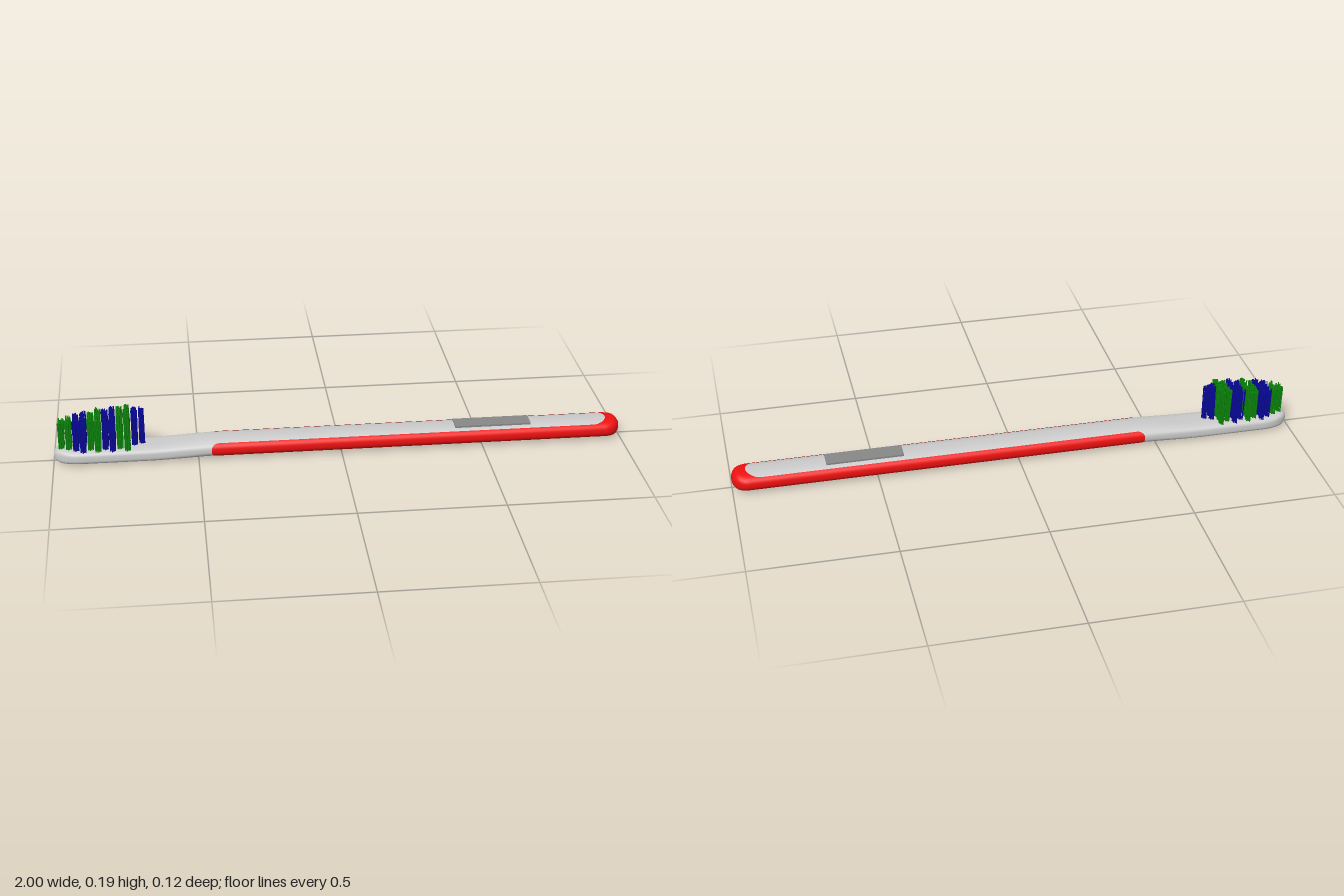
import * as THREE from 'three';
import { mergeGeometries } from 'three/addons/utils/BufferGeometryUtils.js';

const lerp = THREE.MathUtils.lerp;
const round = (d, len) => (d >= len ? 1 : Math.sqrt(Math.max(0, 1 - (1 - d / len) ** 2)));

// Cross-section of the brush at x: half width, half height, centre height, squareness
function section(x) {
  const k = THREE.MathUtils.smoothstep(x, -0.68, -0.42);
  const top = lerp(0.052, 0.066, k), bottom = lerp(0, 0.003, k);
  const l = x + 1, r = 1 - x;
  return {
    w: 0.061 * round(l, 0.1) * round(r, 0.06),
    h: (top - bottom) / 2 * round(l, 0.035) * round(r, 0.03),
    y: (top + bottom) / 2,
    n: lerp(3.4, 2.5, k),
  };
}

// Stations along x, closer together at both ends
function stations(x0, x1, len, count = 14) {
  const xs = [];
  for (let i = 0; i <= count; i++) xs.push(x0 + len * (1 - Math.cos(i / count * Math.PI / 2)));
  for (let i = 1; i < 50; i++) xs.push(lerp(x0 + len, x1 - len, i / 50));
  for (let i = 0; i <= count; i++) xs.push(x1 - len + len * Math.sin(i / count * Math.PI / 2));
  return xs;
}

// Skin over the sections; range(x) gives the start and end angle round the section
function skin(xs, segs, closed, grow, range) {
  const pos = [], idx = [], cols = closed ? segs : segs + 1;
  const pow = (v, e) => Math.sign(v) * Math.abs(v) ** e;
  xs.forEach((x, i) => {
    const s = section(x), [t0, t1] = range(x, s);
    for (let j = 0; j < cols; j++) {
      const t = lerp(t0, t1, j / segs);
      pos.push(x, s.y + (s.h + grow) * pow(Math.sin(t), 2 / s.n), (s.w + grow) * pow(Math.cos(t), 2 / s.n));
    }
    if (i === 0) return;
    for (let j = 0; j < segs; j++) {
      const k = (j + 1) % cols, a = (i - 1) * cols, b = i * cols;
      idx.push(a + j, b + j, a + k, b + j, b + k, a + k);
    }
  });
  const g = new THREE.BufferGeometry();
  g.setAttribute('position', new THREE.Float32BufferAttribute(pos, 3));
  g.setIndex(idx);
  g.computeVertexNormals();
  return g;
}

// Angle the grip reaches up from the side: a strip that closes over the butt end
function gripAngle(x, s) {
  const inner = x < 0.9 ? 0.048 : 0.048 * Math.sqrt(Math.max(0, 1 - ((x - 0.9) / 0.05) ** 2));
  if (x >= 0.95) return Math.PI / 2;
  return Math.acos(Math.min(1, inner / s.w) ** (s.n / 2)) * round(x + 0.455, 0.025);
}

let seed = 7;
const rand = () => (seed = (seed * 16807) % 2147483647) / 2147483647;

// One tuft: a bundle of thin filaments, splayed a little and cut at a slant
function tuft(x, z) {
  const parts = [];
  for (let i = 0; i < 10; i++) {
    const a = i * 2.4, r = 0.0095 * Math.sqrt(i / 10);
    const bx = x + r * Math.cos(a), bz = z + r * Math.sin(a);
    const top = 0.148 + (x + 0.98) * 0.122 + (rand() - 0.5) * 0.008;
    const base = 0.04;
    const g = new THREE.CylinderGeometry(0.0024, 0.0024, top - base, 5);
    g.translate(0, (top - base) / 2, 0);
    const lx = (rand() - 0.5) * 0.006, lz = z * 0.07 + (rand() - 0.5) * 0.006;
    const p = g.attributes.position;
    for (let v = 0; v < p.count; v++) {
      const k = p.getY(v) / (top - base);
      p.setX(v, p.getX(v) + lx * k);
      p.setZ(v, p.getZ(v) + lz * k);
    }
    parts.push(g.translate(bx, base, bz));
  }
  return mergeGeometries(parts);
}

export function createModel() {
  const group = new THREE.Group();
  const add = (name, geometry, color = 0xcccccc) => {
    const m = new THREE.Mesh(geometry, new THREE.MeshStandardMaterial({ color, side: THREE.DoubleSide }));
    m.name = name;
    group.add(m);
  };

  // Head, neck and handle in one piece; its open end sits inside the grip
  const bodyX = stations(-1, 1, 0.1).filter((x) => x < 0.985);
  add('body', skin(bodyX, 64, true, 0, () => [0, Math.PI * 2]));

  // Soft grip along both sides and round the butt
  const gripX = [...stations(-0.455, 0.95, 0.05), ...stations(0.95, 1, 0.025, 8).slice(1)];
  for (const [name, mid] of [['gripFront', 0], ['gripBack', Math.PI]]) {
    add(name, skin(gripX, 24, false, 0.0012, (x, s) => {
      const t = gripAngle(x, s);
      return [mid - t, mid + t];
    }), 0xee1111);
  }

  // Thumb pad on the handle
  const pad = new THREE.BoxGeometry(0.27, 0.008, 0.064);
  pad.translate(0.54, 0.0655, 0);
  add('thumbPad', pad, 0x888888);

  // Bristles: staggered columns in paired colours, narrowing at both ends
  const tufts = { green: [], blue: [] };
  for (let c = 0; c < 12; c++) {
    const x = -0.97 + c * 0.0252;
    const limit = 0.047 * Math.min(1, 0.5 + c * 0.2, 0.1 + (11 - c) * 0.45);
    const shift = c % 2 ? 0 : 0.011;
    for (let j = -3; j <= 3; j++) {
      const z = j * 0.022 + (c === 11 ? 0 : shift);
      if (Math.abs(z) <= limit) tufts[c % 4 < 2 ? 'green' : 'blue'].push(tuft(x, z));
    }
  }
  add('greenBristles', mergeGeometries(tufts.green), 0x0a8a0a);
  add('blueBristles', mergeGeometries(tufts.blue), 0x0808a0);

  return group;
}
